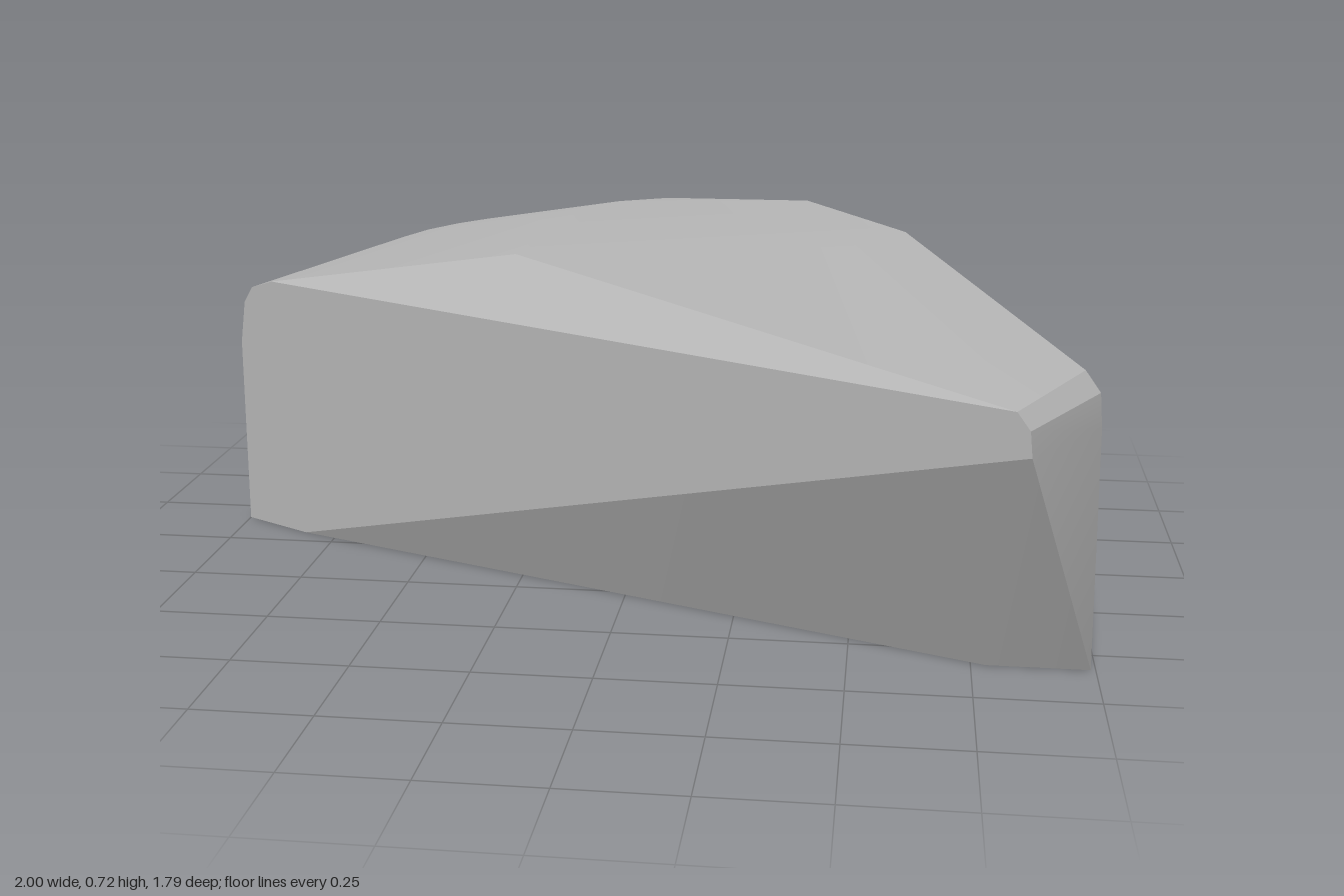
import * as THREE from 'three';
import { ConvexGeometry } from 'three/addons/geometries/ConvexGeometry.js';
import { toCreasedNormals } from 'three/addons/utils/BufferGeometryUtils.js';

export function createModel() {
  const group = new THREE.Group();
  const stone = new THREE.MeshStandardMaterial({ color: 0xb4b4b4 });
  stone.name = 'stone grey';

  const points = [];
  const add = (x, y, z) => points.push(new THREE.Vector3(x, y, z));

  // flat base
  [[-1, -0.16], [-0.83, -0.062], [0.78, 0.58], [0.99, 0.58], [1, 0.34], [0.95, 0.25], [0.07, -0.14]]
    .forEach(([x, z]) => add(x, 0, z));

  // flat top
  [[-0.28, 0.04], [-0.26, -0.45], [-0.22, -0.62], [-0.15, -0.73], [-0.03, -0.8], [0.47, -0.15]]
    .forEach(([x, z]) => add(x, 0.72, z));

  // upright cut on the side: corners lie on one plane
  [[0.39, -0.885], [0.43, -0.9], [0.66, -0.87], [0.72, -0.8], [0.72, -0.36],
    [0.59, 0.08], [0.56, 0.14], [0.5, 0.19], [0.37, 0.245], [0, 0.34]]
    .forEach(([y, z]) => add(0.28 + (z + 0.9) * 0.58, y, z));

  // upright front cut: corners lie on one plane
  [[-1, 0.45], [-0.985, 0.55], [-0.96, 0.59], [-0.9, 0.612], [0.83, 0.53], [0.825, 0.58], [0.8, 0.612]]
    .forEach(([x, y]) => add(x, y, -0.16 + (x + 1) * 0.574));

  // blunt nose
  add(0.985, 0.5, 0.56);
  add(0.98, 0.57, 0.55);
  add(0.95, 0.61, 0.53);

  // rounded back corner: outline swept up through a bevelled rim
  const rim = [[-0.77, -0.68], [-0.71, -0.77], [-0.63, -0.84], [-0.54, -0.885], [-0.43, -0.9]];
  const levels = [[0, 0.43], [0.008, 0.53], [0.025, 0.59], [0.06, 0.625]];
  rim.forEach(([x, z], i) => {
    const lift = i * 0.008;
    const angle = (i / 4) * 1.15 + 0.42;
    const nx = -Math.cos(angle), nz = -Math.sin(angle);
    levels.forEach(([inset, y]) => add(x - nx * inset, y + lift * (y > 0.5 ? 1 : 0), z - nz * inset));
    add(x - nx * 0.01, 0.29 + i * 0.025, z - nz * 0.01);
  });

  const body = new THREE.Mesh(toCreasedNormals(new ConvexGeometry(points), 0.42), stone);
  body.name = 'rock';
  group.add(body);
  return group;
}
